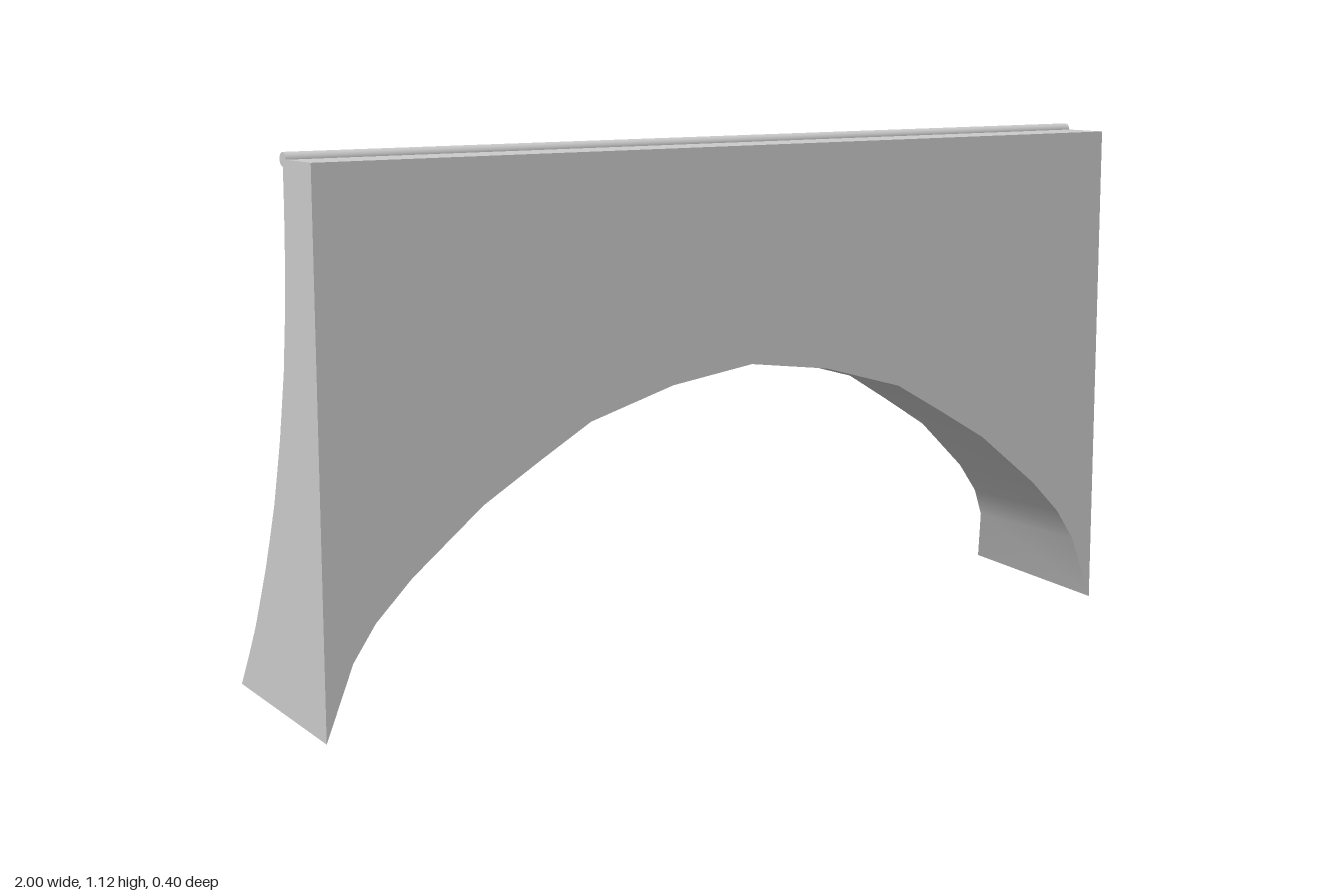
import * as THREE from 'three';

const TOP = 1.11, FRONT = 0.2;
// half of the arch edge: [x, y]
const arch = [[0, 0.65], [0.2, 0.623], [0.4, 0.567], [0.52, 0.5], [0.65, 0.425], [0.81, 0.3], [0.89, 0.222], [0.94, 0.15], [1, 0]];
// hollow back profile: [y, z]
const back = [[0, -0.21], [0.022, -0.2], [0.14, -0.13], [0.28, -0.066], [0.42, -0.013], [0.56, 0.025], [0.7, 0.053], [0.85, 0.071], [1, 0.077], [TOP, 0.077]];
const stations = [...arch.slice(1).reverse().map(([x]) => -x), ...arch.map(([x]) => x)];

// piecewise linear lookup
function lookup(table, k) {
  for (let i = 1; i < table.length; i++) {
    const [a, p] = table[i - 1], [b, q] = table[i];
    if (k <= b) return p + (q - p) * (k - a) / (b - a);
  }
  return table[table.length - 1][1];
}

// surface patch from a point rule; it faces along du x dv
function patch(name, nu, nv, point, material) {
  const pos = [], index = [], w = nv + 1;
  for (let i = 0; i <= nu; i++) for (let j = 0; j <= nv; j++) pos.push(...point(i, j));
  for (let i = 0; i < nu; i++) for (let j = 0; j < nv; j++) {
    const a = i * w + j, b = a + w;
    index.push(a, b, b + 1, a, b + 1, a + 1);
  }
  const geometry = new THREE.BufferGeometry();
  geometry.setAttribute('position', new THREE.Float32BufferAttribute(pos, 3));
  geometry.setIndex(index);
  geometry.computeVertexNormals();
  const mesh = new THREE.Mesh(geometry, material);
  mesh.name = name;
  return mesh;
}

export function createModel() {
  const material = new THREE.MeshStandardMaterial({ color: 0xcccccc });
  const group = new THREE.Group();
  group.name = 'archedPanel';
  const n = stations.length - 1, rows = 16;

  // t runs from the arch (0) to the top edge (1)
  const frontPoint = (x, t) => [x, THREE.MathUtils.lerp(lookup(arch, Math.abs(x)), TOP, t), FRONT];
  const backPoint = (x, t) => {
    const low = Math.max(lookup(arch, Math.abs(x)), 0.022);
    const y = THREE.MathUtils.lerp(low, TOP, t);
    return [x, y, lookup(back, y)];
  };

  // flat front and curved back
  group.add(patch('frontFace', n, rows, (i, j) => frontPoint(stations[i], j / rows), material));
  group.add(patch('backFace', n, rows, (i, j) => backPoint(stations[n - i], j / rows), material));

  // top ledge and arch underside
  group.add(patch('topLedge', n, 1, (i, j) => (j ? backPoint : frontPoint)(stations[i], 1), material));
  group.add(patch('archUnderside', n, 1, (i, j) => (j ? frontPoint : backPoint)(stations[i], 0), material));

  // end walls
  group.add(patch('leftEnd', 1, rows, (i, j) => (i ? backPoint : frontPoint)(1, j / rows), material));
  group.add(patch('rightEnd', 1, rows, (i, j) => (i ? frontPoint : backPoint)(-1, j / rows), material));

  // round bead along the back top edge
  const bead = new THREE.Mesh(new THREE.CylinderGeometry(0.014, 0.014, 2, 16), material);
  bead.name = 'topBead';
  bead.rotation.z = Math.PI / 2;
  bead.position.set(0, TOP, 0.077);
  group.add(bead);

  return group;
}
